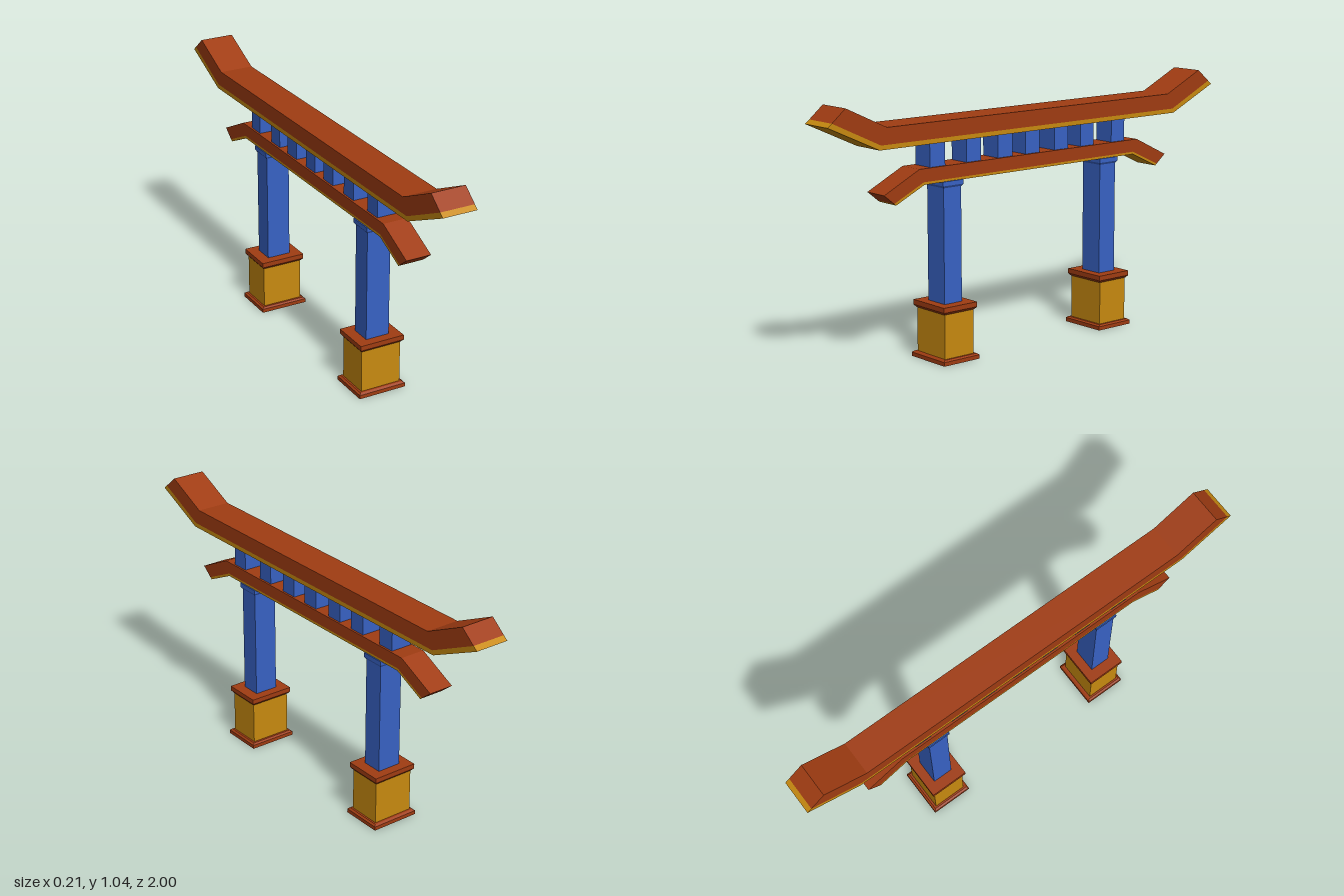
import * as THREE from 'three';

const paint = (color) => new THREE.MeshStandardMaterial({ color, flatShading: true });

export function createModel() {
  const gate = new THREE.Group();
  gate.name = 'gate';
  const red = paint(0xa03c12), gold = paint(0xc88a10), blue = paint(0x3862c4);

  const add = (parent, name, geometry, material) => {
    const mesh = new THREE.Mesh(geometry, material);
    mesh.name = name;
    parent.add(mesh);
    return mesh;
  };

  // Block from y0 to y1 with half sizes hx, hz; the top and bottom can be inset
  const block = (hx, hz, y0, y1, insetTop = 0, insetBottom = 0) => {
    const g = new THREE.BoxGeometry(hx * 2, y1 - y0, hz * 2);
    const p = g.attributes.position;
    for (let i = 0; i < p.count; i++) {
      const inset = p.getY(i) > 0 ? insetTop : insetBottom;
      p.setX(i, p.getX(i) - Math.sign(p.getX(i)) * inset);
      p.setZ(i, p.getZ(i) - Math.sign(p.getZ(i)) * inset);
    }
    g.translate(0, (y0 + y1) / 2, 0);
    g.computeVertexNormals();
    return g;
  };

  // Bent beam: lower and upper edge lines [z, y] of the +z half, mirrored and extruded across x
  const beam = (lower, upper, hx) => {
    const half = [...lower, ...[...upper].reverse()];
    const other = [...half].reverse().map(([z, y]) => [-z, y]);
    const shape = new THREE.Shape([...half, ...other].map(([z, y]) => new THREE.Vector2(z, y)));
    const g = new THREE.ExtrudeGeometry(shape, { depth: hx * 2, bevelEnabled: false });
    g.translate(0, 0, -hx);
    g.rotateY(-Math.PI / 2);
    return g;
  };

  // Top beam with upswept ends and a gold underside band
  const roofBottom = [[0.77, 0.87], [1.0, 0.975]];
  const roofSeam = [[0.764, 0.888], [0.981, 0.99]];
  const roofTop = [[0.735, 0.953], [0.92, 1.04]];
  add(gate, 'topBeam', beam(roofSeam, roofTop, 0.072), red);
  add(gate, 'topBeamBand', beam(roofBottom, roofSeam, 0.072), gold);

  // Lower beam with drooping ends and a thin gold band
  const tieBottom = [[0.55, 0.713], [0.685, 0.65]];
  const tieSeam = [[0.553, 0.723], [0.694, 0.657]];
  const tieTop = [[0.573, 0.775], [0.74, 0.694]];
  add(gate, 'lowerBeam', beam(tieSeam, tieTop, 0.053), red);
  add(gate, 'lowerBeamBand', beam(tieBottom, tieSeam, 0.053), gold);

  // Short struts between the beams
  for (const z of [0.48, 0.302, 0.143, 0, -0.154, -0.296, -0.47]) {
    add(gate, 'strut', block(0.045, 0.037, 0.77, 0.875), blue).position.z = z;
  }

  // Two posts on plinths
  for (const z of [0.414, -0.407]) {
    const post = new THREE.Group();
    post.name = 'post';
    post.position.z = z;
    add(post, 'foot', block(0.103, 0.088, 0, 0.016), red);
    add(post, 'footBevel', block(0.103, 0.088, 0.016, 0.022, 0.008), red);
    add(post, 'plinth', block(0.087, 0.071, 0.02, 0.205), gold);
    add(post, 'plinthCapBevel', block(0.097, 0.082, 0.2, 0.21, 0, 0.008), red);
    add(post, 'plinthCap', block(0.097, 0.082, 0.21, 0.23), red);
    add(post, 'shaft', block(0.051, 0.043, 0.23, 0.7), blue);
    add(post, 'capitalBevel', block(0.058, 0.05, 0.688, 0.697, 0, 0.006), blue);
    add(post, 'capital', block(0.058, 0.05, 0.697, 0.714), blue);
    gate.add(post);
  }
  return gate;
}
